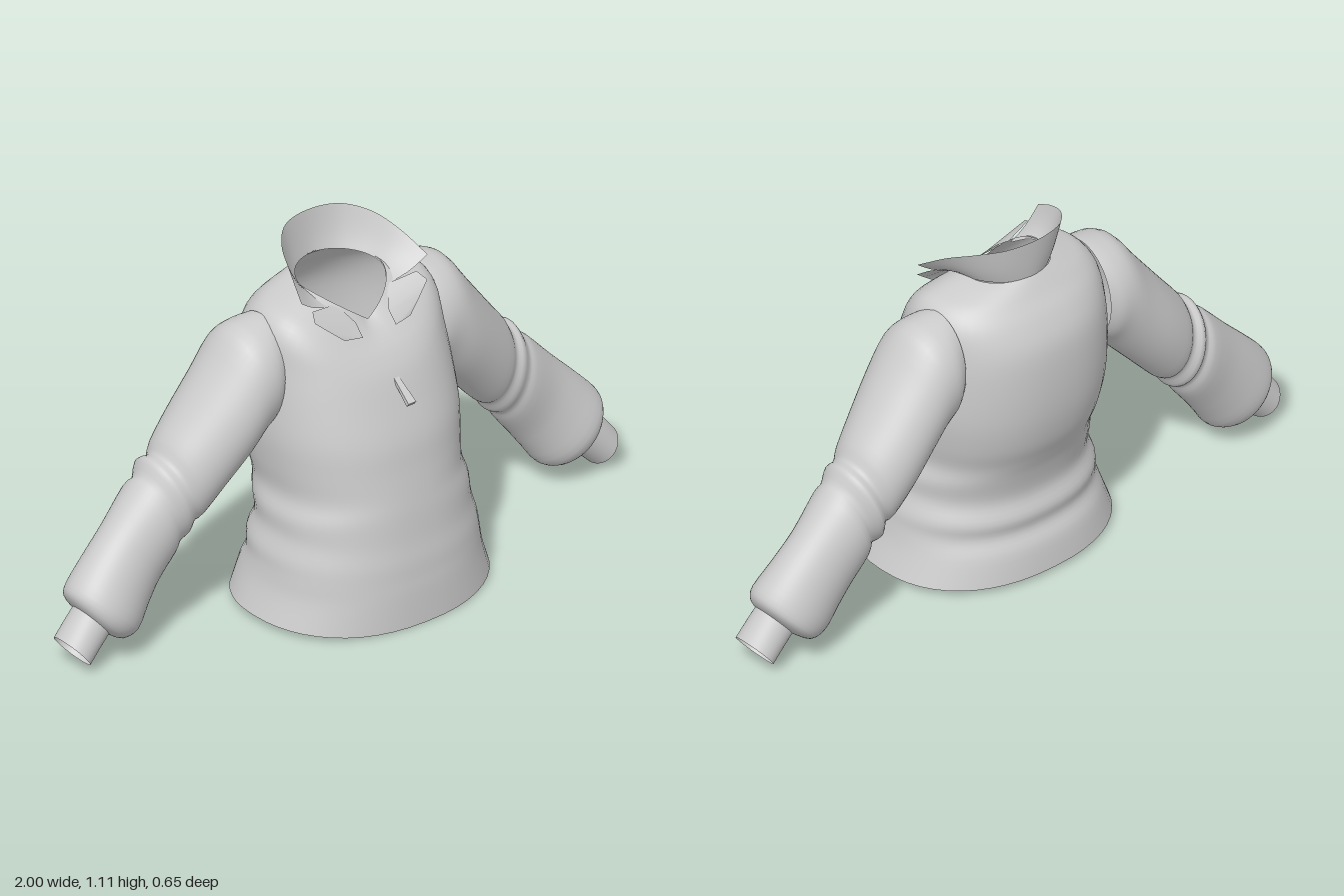
import * as THREE from 'three';

const SEG = 48;
const cloth = new THREE.MeshStandardMaterial({ color: 0xcccccc, side: THREE.DoubleSide });

// Catmull-Rom value between b and c
function spline(a, b, c, d, t) {
  const linear = c - a;
  const square = 2 * a - 5 * b + 4 * c - d;
  const cube = 3 * (b - c) + d - a;
  return b + 0.5 * t * (linear + t * (square + t * cube));
}

// Smooth refinement of a list of key rows (arrays of numbers)
function refine(keys, steps) {
  const out = [], last = keys.length - 1;
  for (let i = 0; i < last; i++) {
    const a = keys[Math.max(i - 1, 0)], b = keys[i], c = keys[i + 1], d = keys[Math.min(i + 2, last)];
    for (let s = 0; s < steps; s++) {
      out.push(b.map((p, k) => spline(a[k], p, c[k], d[k], s / steps)));
    }
  }
  out.push(keys[last]);
  return out;
}

// Skin a grid of points; closed wraps each row onto itself
function skin(rows, closed, name) {
  const n = rows[0].length, idx = [];
  for (let r = 0; r < rows.length - 1; r++) {
    for (let i = 0; i < (closed ? n : n - 1); i++) {
      const j = (i + 1) % n, a = r * n + i, b = r * n + j;
      idx.push(a, a + n, b, b, a + n, b + n);
    }
  }
  const g = new THREE.BufferGeometry();
  g.setAttribute('position', new THREE.Float32BufferAttribute(rows.flat(2), 3));
  g.setIndex(idx);
  g.computeVertexNormals();
  const mesh = new THREE.Mesh(g, cloth);
  mesh.name = name;
  return mesh;
}

// Torso ring: half width, front z, back z, heights at front / side / back, V shape of the front
function torsoRing([w, zf, zb, yf, ys, yb, v]) {
  const ring = [], zc = (zf + zb) / 2, h = (zf - zb) / 2;
  const square = (q) => Math.sign(q) * Math.abs(q) ** (0.88 + 0.12 * v);
  for (let i = 0; i < SEG; i++) {
    const a = (i / SEG) * Math.PI * 2, c = Math.cos(a), s = Math.sin(a);
    const blend = s > 0 ? THREE.MathUtils.lerp(s * s, 1 - Math.abs(c), v) : s * s;
    ring.push([w * square(c), ys + ((s > 0 ? yf : yb) - ys) * blend, zc + h * square(s)]);
  }
  return ring;
}

// Sleeve ring: outer x, y, inner x, y, front z, back z
function sleeveRing([ox, oy, ix, iy, zf, zb], side) {
  const ring = [];
  for (let i = 0; i < SEG; i++) {
    const a = (i / SEG) * Math.PI * 2, c = Math.cos(a), s = Math.sin(a) * side;
    ring.push([
      side * ((ox + ix) / 2 + c * (ox - ix) / 2),
      (oy + iy) / 2 + c * (oy - iy) / 2,
      (zf + zb) / 2 - s * (zf - zb) / 2,
    ]);
  }
  return ring;
}

const TORSO = [
  [0.385, 0.325, -0.29, 0, 0.02, 0.015, 0],
  [0.355, 0.32, -0.275, 0.1, 0.1, 0.1, 0],
  [0.342, 0.315, -0.25, 0.15, 0.16, 0.15, 0],
  [0.335, 0.31, -0.255, 0.2, 0.21, 0.2, 0],
  [0.315, 0.3, -0.235, 0.26, 0.27, 0.26, 0],
  [0.312, 0.29, -0.25, 0.34, 0.33, 0.34, 0],
  [0.295, 0.28, -0.272, 0.4, 0.39, 0.4, 0],
  [0.305, 0.267, -0.3, 0.47, 0.47, 0.47, 0],
  [0.315, 0.25, -0.32, 0.56, 0.57, 0.57, 0],
  [0.312, 0.215, -0.325, 0.66, 0.69, 0.69, 0],
  [0.304, 0.182, -0.315, 0.74, 0.79, 0.8, 0],
  [0.294, 0.15, -0.28, 0.79, 0.875, 0.875, 0],
  [0.26, 0.122, -0.24, 0.82, 0.925, 0.925, 0.1],
  [0.2, 0.09, -0.215, 0.845, 0.948, 0.957, 0.5],
  [0.135, 0.055, -0.2, 0.868, 0.965, 0.975, 1],
];

const SLEEVE = [
  [0.27, 0.915, 0.28, 0.59, 0.03, -0.22],
  [0.315, 0.91, 0.3, 0.58, 0.05, -0.24],
  [0.38, 0.89, 0.33, 0.555, 0.055, -0.245],
  [0.45, 0.8, 0.38, 0.5, 0.05, -0.245],
  [0.54, 0.685, 0.45, 0.425, 0.03, -0.245],
  [0.6, 0.61, 0.52, 0.35, 0.01, -0.235],
  [0.625, 0.565, 0.545, 0.335, -0.005, -0.22],
  [0.655, 0.56, 0.565, 0.3, 0, -0.235],
  [0.68, 0.515, 0.59, 0.285, -0.012, -0.215],
  [0.71, 0.495, 0.61, 0.25, -0.008, -0.225],
  [0.8, 0.4, 0.66, 0.185, -0.015, -0.215],
  [0.88, 0.32, 0.7, 0.13, -0.005, -0.213],
  [0.94, 0.255, 0.745, 0.07, 0.01, -0.213],
  [0.95, 0.22, 0.8, 0.055, -0.002, -0.2],
  [0.935, 0.187, 0.85, 0.085, -0.028, -0.156],
];

const CUFF = [
  [0.935, 0.187, 0.85, 0.085, -0.028, -0.156],
  [0.968, 0.148, 0.888, 0.05, -0.024, -0.157],
  [1.0, 0.108, 0.925, 0.014, -0.02, -0.158],
];

// Curve symmetric in x, given from the back centre to one front end
function mirroredCurve(half) {
  const right = half.slice(1).reverse().map(([x, y, z]) => [-x, y, z]);
  const pts = [...right, ...half].map((p) => new THREE.Vector3(...p));
  return new THREE.CatmullRomCurve3(pts).getPoints(48);
}

// Stand-up collar that flares towards its open front
function makeCollar() {
  const base = mirroredCurve([[0, 0.972, -0.2], [0.075, 0.97, -0.175], [0.125, 0.965, -0.11],
    [0.132, 0.955, -0.04], [0.1, 0.93, 0.015]]);
  const rim = mirroredCurve([[0, 1.105, -0.217], [0.1, 1.1, -0.195], [0.165, 1.08, -0.13],
    [0.2, 1.045, -0.05], [0.23, 0.99, 0.04]]);
  const rows = [];
  for (let r = 0; r <= 6; r++) {
    const t = r / 6;
    rows.push(base.map((p, i) => {
      const q = p.clone().lerp(rim[i], t);
      q.y -= 0.012 * Math.sin(Math.PI * t);
      return q.toArray();
    }));
  }
  return skin(rows, false, 'collar');
}

// Folded-out lapel below the notch of the collar
function makeLapel(side) {
  const inner = [[0.1, 0.932, 0.02], [0.08, 0.915, 0.045], [0.06, 0.885, 0.075], [0.06, 0.85, 0.108]];
  const outer = [[0.19, 0.95, 0.04], [0.205, 0.93, 0.07], [0.165, 0.895, 0.085], [0.12, 0.857, 0.1]];
  const place = ([x, y, z]) => [x * side, y, z];
  return skin([inner.map(place), outer.map(place)], false, side > 0 ? 'leftLapel' : 'rightLapel');
}

// Zip pull hanging off the chest, slightly wider at the bottom
function makeZipPull() {
  const tapered = new THREE.CylinderGeometry(0.012, 0.02, 0.095, 4, 1).rotateY(Math.PI / 4);
  const g = tapered.scale(1, 1, 0.5).toNonIndexed();
  g.computeVertexNormals();
  const zip = new THREE.Mesh(g, cloth);
  zip.name = 'zipPull';
  zip.position.set(0, 0.705, 0.215);
  zip.rotation.x = -0.92;
  return zip;
}

export function createModel() {
  const model = new THREE.Group();
  model.name = 'pulloverJacket';

  model.add(skin(refine(TORSO, 4).map(torsoRing), true, 'torso'));
  for (const side of [1, -1]) {
    const label = side > 0 ? 'left' : 'right';
    model.add(skin(refine(SLEEVE, 3).map((k) => sleeveRing(k, side)), true, label + 'Sleeve'));
    model.add(skin(CUFF.map((k) => sleeveRing(k, side)), true, label + 'Cuff'));
    model.add(makeLapel(side));
  }
  model.add(makeCollar());
  model.add(makeZipPull());

  return model;
}
